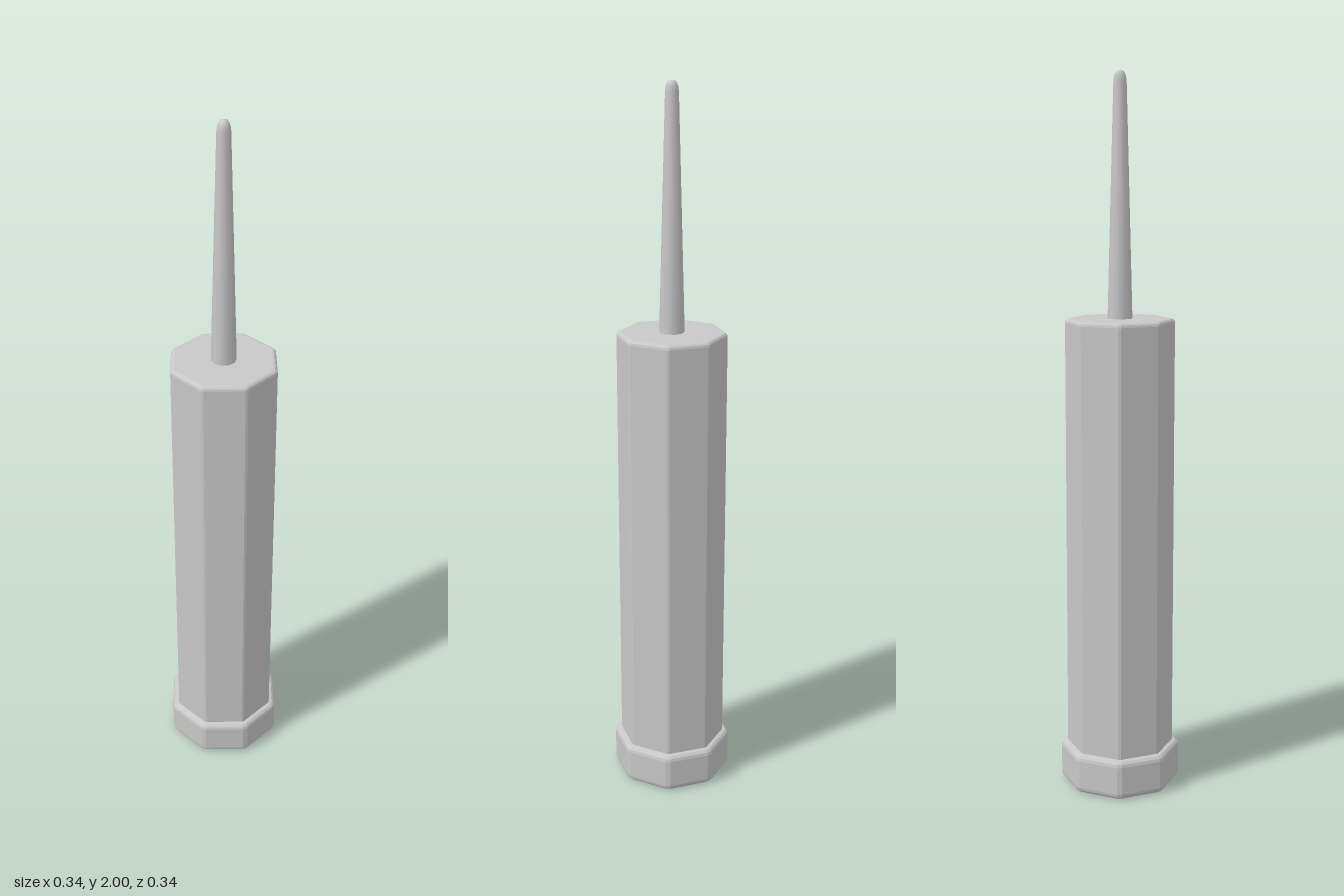
import * as THREE from 'three';

// Eight-sided solid with softened upright edges; profile is [radius, y] from bottom to top.
function octagonSolid(profile, soften) {
  const angles = [];
  for (let i = 0; i < 8; i++) {
    const a = (i * Math.PI) / 4;
    angles.push(a - soften, a, a + soften);
  }
  const n = angles.length;
  const positions = [];
  const index = [];
  for (const [r, y] of profile) {
    for (const a of angles) positions.push(r * Math.cos(a), y, -r * Math.sin(a));
  }
  for (let k = 0; k < profile.length - 1; k++) {
    for (let i = 0; i < n; i++) {
      const j = (i + 1) % n;
      const a = k * n + i, b = k * n + j, c = a + n, d = b + n;
      index.push(a, b, d, a, d, c);
    }
  }
  // flat end caps
  const top = (profile.length - 1) * n;
  for (let i = 1; i < n - 1; i++) {
    index.push(0, i + 1, i);
    index.push(top, top + i, top + i + 1);
  }
  const indexed = new THREE.BufferGeometry();
  indexed.setAttribute('position', new THREE.Float32BufferAttribute(positions, 3));
  indexed.setIndex(index);
  const geometry = indexed.toNonIndexed();
  geometry.computeVertexNormals();
  return geometry;
}

// Profile with rounded bottom and top rims.
function rimmedProfile(r, y0, y1, bevel) {
  const points = [];
  const steps = 3;
  for (let i = 0; i <= steps; i++) {
    const t = (i / steps) * (Math.PI / 2);
    points.push([r - bevel * (1 - Math.sin(t)), y0 + bevel * (1 - Math.cos(t))]);
  }
  for (let i = 0; i <= steps; i++) {
    const t = (i / steps) * (Math.PI / 2);
    points.push([r - bevel * (1 - Math.cos(t)), y1 - bevel * (1 - Math.sin(t))]);
  }
  return points;
}

export function createModel() {
  const group = new THREE.Group();
  const grey = new THREE.MeshStandardMaterial({ color: 0xc8c8c8 });
  grey.name = 'light grey';

  const add = (name, geometry) => {
    const mesh = new THREE.Mesh(geometry, grey);
    mesh.name = name;
    group.add(mesh);
  };

  // wide foot and tall body
  add('baseCap', octagonSolid(rimmedProfile(0.169, 0, 0.114, 0.017), 0.045));
  add('body', octagonSolid(rimmedProfile(0.151, 0.05, 1.34, 0.012), 0.025));

  // slim tapering rod with a rounded tip
  const rod = [
    [0.035, 1.3], [0.034, 1.36], [0.018, 1.97], [0.016, 1.985], [0.011, 1.996], [0, 2],
  ].map(([r, y]) => new THREE.Vector2(r, y));
  add('antenna', new THREE.LatheGeometry(rod, 10));

  return group;
}
